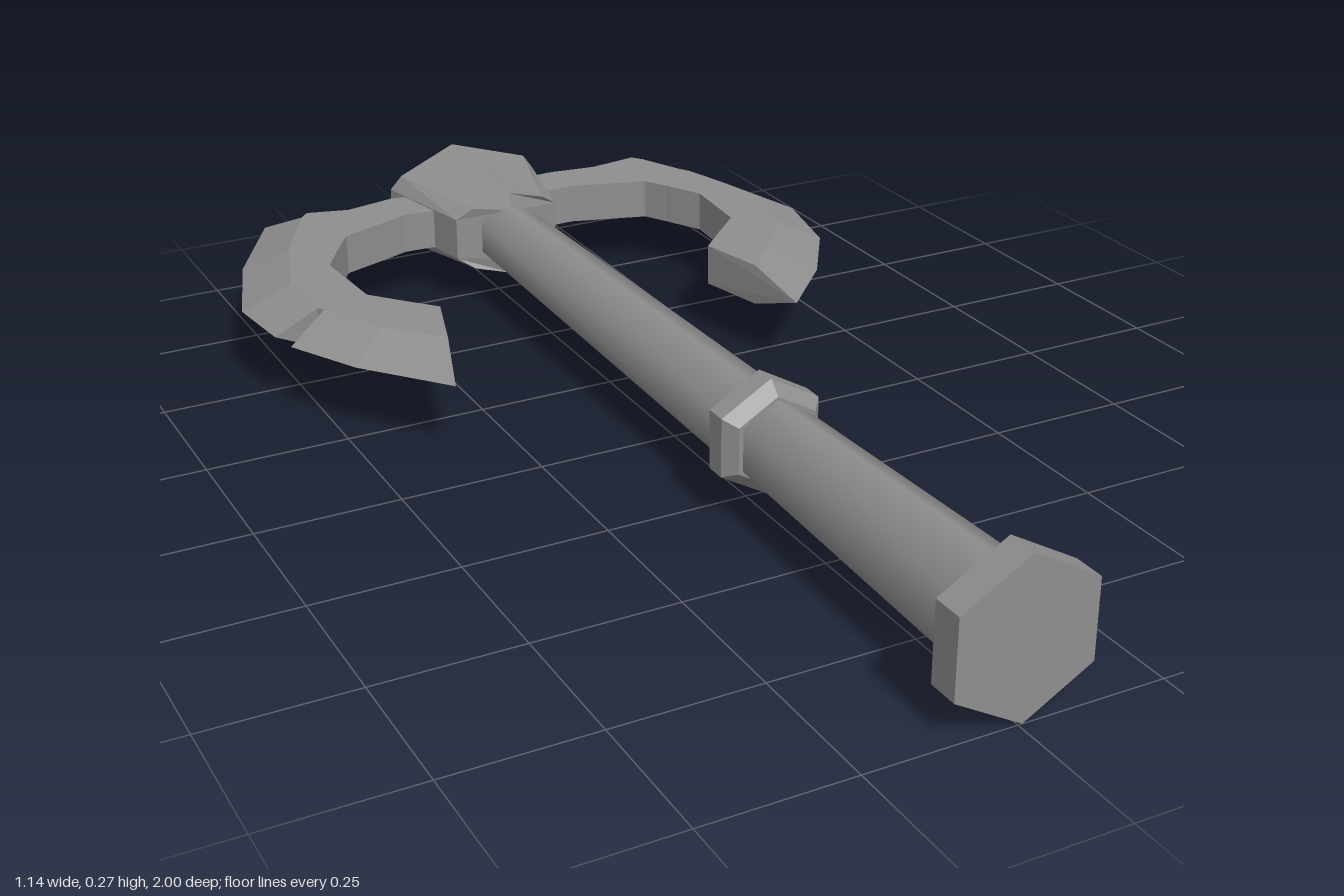
import * as THREE from 'three';

const CX = 0.007, CY = 0.133; // shaft axis

// Skin a row of equal-length rings, closing both ends
function loft(rings, flip, material, name) {
  const pos = [];
  const tri = (a, b, c) => pos.push(...a, ...(flip ? c : b), ...(flip ? b : c));
  const n = rings[0].length;
  for (let r = 0; r < rings.length - 1; r++) {
    const A = rings[r], B = rings[r + 1];
    for (let i = 0; i < n; i++) {
      const j = (i + 1) % n;
      tri(A[i], A[j], B[j]);
      tri(A[i], B[j], B[i]);
    }
  }
  const first = rings[0], last = rings[rings.length - 1];
  for (let i = 1; i < n - 1; i++) {
    tri(first[0], first[i + 1], first[i]);
    tri(last[0], last[i], last[i + 1]);
  }
  const g = new THREE.BufferGeometry();
  g.setAttribute('position', new THREE.Float32BufferAttribute(pos, 3));
  g.computeVertexNormals();
  const mesh = new THREE.Mesh(g, material);
  mesh.name = name;
  return mesh;
}

// Blade sections: [sharp edge x,z, bevel shoulder x,z, inner side x,z]
const RIGHT_BLADE = [
  [-0.08, -0.88, -0.08, -0.88, -0.08, -0.79],
  [-0.164, -0.894, -0.164, -0.894, -0.175, -0.794],
  [-0.26, -0.873, -0.26, -0.873, -0.24, -0.768],
  [-0.339, -0.894, -0.339, -0.894, -0.312, -0.741],
  [-0.407, -0.952, -0.355, -0.875, -0.315, -0.738],
  [-0.513, -0.762, -0.435, -0.72, -0.352, -0.68],
  [-0.577, -0.566, -0.485, -0.56, -0.392, -0.614],
  [-0.561, -0.429, -0.48, -0.434, -0.381, -0.45],
  [-0.481, -0.434, -0.479, -0.433, -0.38, -0.449],
  [-0.55, -0.376, -0.472, -0.42, -0.376, -0.444],
  [-0.481, -0.243, -0.41, -0.3, -0.335, -0.395],
  [-0.36, -0.095, -0.325, -0.21, -0.286, -0.339],
];
const LEFT_BLADE = [
  [0.08, -0.88, 0.08, -0.88, 0.08, -0.79],
  [0.18, -0.889, 0.18, -0.889, 0.185, -0.794],
  [0.275, -0.878, 0.275, -0.878, 0.257, -0.772],
  [0.37, -0.894, 0.37, -0.894, 0.328, -0.751],
  [0.434, -0.942, 0.385, -0.875, 0.331, -0.747],
  [0.492, -0.815, 0.425, -0.785, 0.35, -0.713],
  [0.439, -0.767, 0.437, -0.765, 0.355, -0.705],
  [0.513, -0.778, 0.44, -0.755, 0.358, -0.698],
  [0.566, -0.566, 0.49, -0.566, 0.392, -0.635],
  [0.529, -0.397, 0.45, -0.43, 0.381, -0.487],
  [0.439, -0.259, 0.375, -0.325, 0.325, -0.432],
  [0.323, -0.138, 0.3, -0.25, 0.27, -0.376],
];

function blade(sections, flip, material, name) {
  const t = 0.038;
  const rings = sections.map(([ox, oz, sx, sz, ix, iz]) => [
    [ox, CY, oz], [sx, CY + t, sz], [ix, CY + t, iz], [ix, CY - t, iz], [sx, CY - t, sz],
  ]);
  return loft(rings, flip, material, name);
}

export function createModel() {
  const group = new THREE.Group();
  const steel = new THREE.MeshStandardMaterial({ color: 0x8e8e8e });
  steel.name = 'grey';

  // Six-sided shaft sections along z, smooth-sided
  const shaft = (name, z0, r0, z1, r1, sx) => {
    const g = new THREE.CylinderGeometry(r1, r0, z1 - z0, 6, 1, true);
    g.rotateX(Math.PI / 2);
    g.scale(sx, 1, 1);
    const m = new THREE.Mesh(g, steel);
    m.position.set(CX, CY, (z0 + z1) / 2);
    m.name = name;
    group.add(m);
  };
  shaft('upperShaft', -0.75, 0.06, 0.28, 0.073, 1.08);
  shaft('grip', 0.3, 0.073, 0.94, 0.091, 0.96);

  // Hexagonal collar and pommel from [z, radius] profiles
  const hexPart = (name, profile) => {
    const rings = profile.map(([z, r]) => Array.from({ length: 6 }, (_, i) => {
      const a = Math.PI / 2 + i * Math.PI / 3;
      return [CX + r * Math.cos(a), CY + r * Math.sin(a), z];
    }));
    group.add(loft(rings, false, steel, name));
  };
  hexPart('collar', [[0.258, 0.08], [0.274, 0.102], [0.312, 0.102], [0.335, 0.08]]);
  hexPart('pommel', [[0.918, 0.1], [0.945, 0.133], [1, 0.133]]);

  // Shield-shaped head block: bevelled rim with gently ridged faces
  const mirrorRing = ([apex, back, front, mid]) => s => [
    [0, 1, apex], [1, 1, back], [1, 1, front], [0, 1, mid], [-1, 1, front], [-1, 1, back],
  ].map(([mx, , [x, y, z]]) => [CX + mx * x, CY + s * y, z]);
  const rim = mirrorRing([[0, 0.045, -1], [0.154, 0.04, -0.938], [0.105, 0.04, -0.717], [0, 0.05, -0.693]]);
  const face = mirrorRing([[0, 0.097, -0.985], [0.133, 0.068, -0.93], [0.073, 0.062, -0.705], [0, 0.083, -0.7]]);
  group.add(loft([face(-1), rim(-1), rim(1), face(1)], true, steel, 'headBlock'));

  // Notched crescent blades
  group.add(blade(RIGHT_BLADE, true, steel, 'rightBlade'));
  group.add(blade(LEFT_BLADE, false, steel, 'leftBlade'));

  return group;
}
